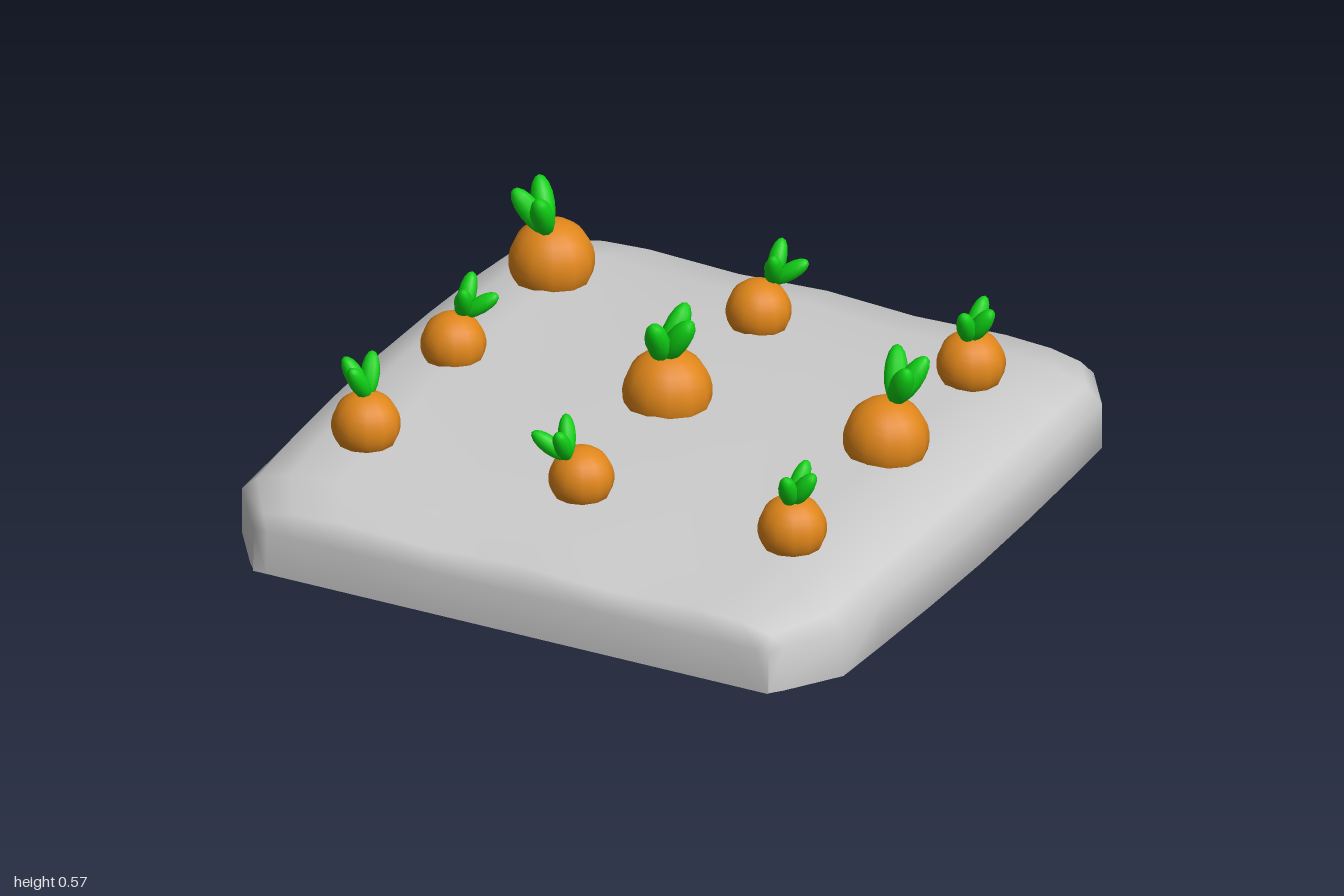
import * as THREE from 'three';
import { mergeVertices } from 'three/addons/utils/BufferGeometryUtils.js';

const soil = new THREE.MeshStandardMaterial({ color: 0xcccccc, side: THREE.DoubleSide });
const orange = new THREE.MeshStandardMaterial({ color: 0xe0861a });
const green = new THREE.MeshStandardMaterial({ color: 0x0fd014 });

// Ridged soil bed: closed cross-sections lofted along z, floor left open near the front edge
function makeBed() {
  const half = [[1, 0], [1, 0.14], [0.95, 0.21], [0.84, 0.26], [0.67, 0.28], [0.33, 0.255]];
  const top = [...half.map(([x, y]) => [-x, y]), [0, 0.29], ...[...half].reverse()];
  const floor = [...top].reverse().slice(2, -1).map(([x]) => [x, 0]);
  const profile = [...top, ...floor, top[0]];
  // z, half width, wall height, how much of the ridge height remains
  const ends = [[1, 0.83, 0, 0], [0.995, 0.83, 0.13, 0], [0.96, 0.86, 0.14, 0.4],
    [0.8, 0.97, 0.14, 0.66], [0.58, 0.98, 0.14, 0.87], [0.3, 0.99, 0.14, 0.96]];
  const sections = [...ends.map(([z, ...r]) => [-z, ...r]), [0, 0.995, 0.14, 1], ...[...ends].reverse()];
  const pos = [], index = [], n = profile.length;
  sections.forEach(([z, w, wall, ridge], j) => {
    profile.forEach(([x, y], i) => {
      pos.push(x * w, Math.min(y, wall) + Math.max(y - 0.14, 0) * ridge, z);
      if (i && j && (i < top.length || z < 0.9)) {
        const a = j * n + i, b = a - n;
        index.push(b - 1, a - 1, a, b - 1, a, b);
      }
    });
  });
  const loft = new THREE.BufferGeometry();
  loft.setAttribute('position', new THREE.Float32BufferAttribute(pos, 3));
  loft.setIndex(index);
  const geo = mergeVertices(loft);
  geo.computeVertexNormals();
  const bed = new THREE.Mesh(geo, soil);
  bed.name = 'soilBed';
  return bed;
}

const rootGeo = new THREE.SphereGeometry(1, 12, 10, 0, Math.PI * 2, 0, 2.1);
const leafGeo = new THREE.SphereGeometry(1, 10, 8);

// Carrot top with three leaves fanned around the direction (dx, dz)
function makeCarrot([x, z, r, lx, lz, dx, dz, lean]) {
  const carrot = new THREE.Group();
  carrot.name = 'carrot';
  const root = new THREE.Mesh(rootGeo, orange);
  root.name = 'carrotRoot';
  root.scale.setScalar(r);
  root.position.set(x, 0.31, z);
  carrot.add(root);

  const yaw = Math.atan2(-dz, dx);
  for (const k of [-1, 0, 1]) {
    const pivot = new THREE.Group();
    pivot.name = 'leaf';
    pivot.position.set(lx, 0.31 + r * 0.8, lz);
    pivot.rotation.set(0, yaw + k * 1.3, k ? -0.55 : -lean, 'YXZ');
    const leaf = new THREE.Mesh(leafGeo, green);
    leaf.name = 'leafBlade';
    leaf.scale.set(r * 0.28, r * 0.68, r * 0.28);
    leaf.position.y = r * 0.68;
    pivot.add(leaf);
    carrot.add(pivot);
  }
  return carrot;
}

export function createModel() {
  const model = new THREE.Group();
  model.name = 'carrotPatch';
  model.add(makeBed());
  // root x, z, radius; leaf base x, z; leaf direction x, z; lean of the middle leaf
  const carrots = [
    [-0.69, -0.58, 0.125, -0.69, -0.55, -1, 0.5, 0.6],
    [-0.02, -0.575, 0.095, 0, -0.62, 1, -0.3, 0.95],
    [0.67, -0.565, 0.1, 0.67, -0.55, 1, 0, 0.6],
    [-0.7, 0.01, 0.095, -0.69, -0.025, 1, -0.3, 0.95],
    [-0.02, -0.01, 0.13, -0.03, 0, 1, 0.1, 0.6],
    [0.67, -0.04, 0.125, 0.68, -0.07, 0.8, -0.6, 0.6],
    [-0.69, 0.57, 0.1, -0.69, 0.56, -1, 0, 0.6],
    [0.01, 0.58, 0.095, -0.01, 0.625, -1, 0.3, 0.95],
    [0.69, 0.58, 0.1, 0.69, 0.59, 1, 0, 0.6],
  ];
  carrots.forEach((c) => model.add(makeCarrot(c)));
  return model;
}
